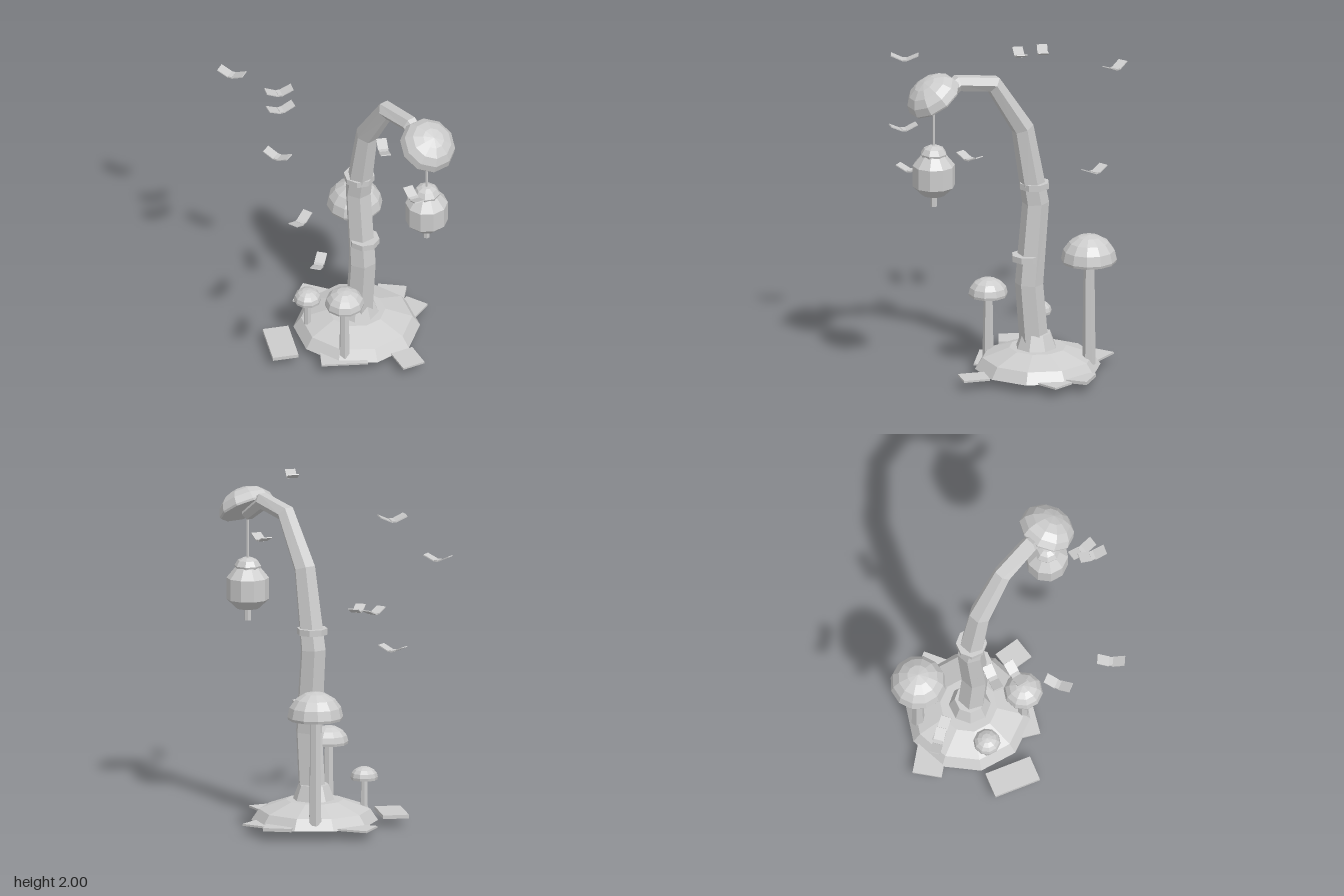
import * as THREE from 'three';

const stone = new THREE.MeshStandardMaterial({ color: 0xcccccc, flatShading: true, side: THREE.DoubleSide });
stone.name = 'pale grey';

function add(parent, name, geometry, x = 0, y = 0, z = 0) {
  const mesh = new THREE.Mesh(geometry, stone);
  mesh.name = name;
  mesh.position.set(x, y, z);
  parent.add(mesh);
  return mesh;
}

// Turned shape from [radius, height] pairs, listed bottom to top
const lathe = (profile, sides) =>
  new THREE.LatheGeometry(profile.map(([r, y]) => new THREE.Vector2(r, y)), sides);

// Closed half dome with a flat underside and a short straight lip
function dome(radius, height, lip, sides) {
  const profile = [[0, 0], [radius * 0.97, 0]];
  const steps = 4;
  for (let i = 0; i <= steps; i++) {
    const a = (i / steps) * Math.PI / 2;
    profile.push([radius * Math.cos(a), lip + (height - lip) * Math.sin(a)]);
  }
  return lathe(profile, sides);
}

// Tapering tube through [x, y, radius] stations lying in one upright plane
function bentTrunk(stations, sides) {
  const positions = [], index = [];
  stations.forEach(([x, y, r], i) => {
    const a = stations[Math.max(i - 1, 0)], b = stations[Math.min(i + 1, stations.length - 1)];
    const t = new THREE.Vector2(b[0] - a[0], b[1] - a[1]).normalize();
    for (let j = 0; j < sides; j++) {
      const angle = (j / sides) * Math.PI * 2, s = Math.sin(angle) * r;
      positions.push(x + t.y * s, y - t.x * s, Math.cos(angle) * r);
    }
  });
  for (let i = 0; i < stations.length - 1; i++) {
    for (let j = 0; j < sides; j++) {
      const a = i * sides + j, b = i * sides + (j + 1) % sides;
      index.push(a, b, b + sides, a, b + sides, a + sides);
    }
  }
  const last = (stations.length - 1) * sides;
  for (let j = 1; j < sides - 1; j++) {
    index.push(0, j + 1, j, last, last + j, last + j + 1);
  }
  const geometry = new THREE.BufferGeometry();
  geometry.setAttribute('position', new THREE.Float32BufferAttribute(positions, 3));
  geometry.setIndex(index);
  const flat = geometry.toNonIndexed();
  flat.computeVertexNormals();
  return flat;
}

function mushroom(name, x, z, base, rim, top, radius, stem, sides) {
  const group = new THREE.Group();
  group.name = name;
  add(group, 'mushroomStem', new THREE.CylinderGeometry(stem * 0.9, stem * 1.1, rim - base + 0.01, 6),
    x, (rim + base) / 2, z);
  add(group, 'mushroomCap', dome(radius, top - rim, 0.016, sides), x, rim, z);
  return group;
}

// Small flier with two raised wings; (dx, dz) is the direction of its wingspan
function flier(x, y, z, dx, dz) {
  const group = new THREE.Group();
  group.name = 'flier';
  add(group, 'body', new THREE.BoxGeometry(0.024, 0.01, 0.055));
  for (const side of [-1, 1]) {
    const wing = add(group, side > 0 ? 'leftWing' : 'rightWing',
      new THREE.BoxGeometry(0.078, 0.006, 0.062), side * 0.046, 0.014, 0);
    wing.rotation.z = side * 0.42;
  }
  group.position.set(x, y, z);
  group.rotation.y = Math.atan2(-dz, dx);
  return group;
}

export function createModel() {
  const model = new THREE.Group();
  model.name = 'mushroomLantern';
  const cx = -0.05, cz = -0.145;

  // Ground mound and the point below it
  add(model, 'mound', lathe([[0, 0.055], [0.375, 0.055], [0.33, 0.122], [0.17, 0.18], [0, 0.18]], 10), cx, 0, cz);
  add(model, 'groundPoint', lathe([[0, 0], [0.1, 0.045], [0.1, 0.056]], 8), cx, 0, cz);

  // Flat stones around the edge: x, z, width, depth, direction of width, thickness
  const slabs = [
    [-0.176, 0.325, 0.285, 0.155, 58, 27, 0.022],
    [-0.425, -0.11, 0.2, 0.175, 36, -23, 0.012],
    [-0.155, -0.475, 0.17, 0.17, 27, -27, 0.02],
    [0.01, -0.5, 0.145, 0.15, 30, -12, 0.012],
    [0.39, -0.19, 0.16, 0.14, 33, 6, 0.012],
    [0.145, 0.1, 0.275, 0.16, 33, -51, 0.012],
  ];
  for (const [x, z, w, d, dx, dz, h] of slabs) {
    const slab = add(model, 'flatStone', new THREE.BoxGeometry(w, h, d), x, 0.055 + h / 2, z);
    slab.rotation.y = Math.atan2(-dz, dx);
  }

  // Bent trunk with a flared foot and two collars
  add(model, 'trunkFoot', new THREE.CylinderGeometry(0.09, 0.128, 0.1, 8), -0.04, 0.22, cz);
  add(model, 'trunk', bentTrunk([
    [-0.03, 0.15, 0.086], [-0.012, 0.36, 0.085], [0.007, 0.58, 0.084], [-0.036, 1.08, 0.08],
    [0.05, 1.555, 0.068], [0.243, 1.856, 0.056], [0.475, 1.893, 0.052], [0.635, 1.79, 0.042],
  ], 6), 0, 0, cz);
  add(model, 'lowerCollar', new THREE.CylinderGeometry(0.09, 0.09, 0.037, 8), 0.024, 0.745, cz);
  add(model, 'upperCollar', new THREE.CylinderGeometry(0.092, 0.092, 0.037, 8), -0.026, 1.19, cz);

  // Drooping cap at the end of the trunk
  const cap = add(model, 'lampCap', dome(0.171, 0.135, 0.012, 10), 0.627, 1.815, -0.15);
  cap.rotation.z = -0.58;

  // Hanging lantern
  const lantern = new THREE.Group();
  lantern.name = 'lantern';
  lantern.position.set(0.633, 0, -0.145);
  add(lantern, 'cord', new THREE.CylinderGeometry(0.008, 0.008, 0.3, 6), 0, 1.65, 0);
  add(lantern, 'lanternTop', lathe([[0, 1.462], [0.076, 1.462], [0.08, 1.478], [0.06, 1.51], [0.03, 1.525], [0, 1.528]], 8));
  add(lantern, 'lanternBody', lathe([[0, 1.215], [0.07, 1.222], [0.126, 1.277], [0.126, 1.405], [0.074, 1.468], [0, 1.47]], 10));
  add(lantern, 'tassel', new THREE.CylinderGeometry(0.02, 0.02, 0.08, 6), 0, 1.188, 0);
  model.add(lantern);

  // Mushrooms standing on the mound
  model.add(
    mushroom('tallMushroom', -0.302, -0.32, 0.09, 0.723, 0.89, 0.166, 0.036, 12),
    mushroom('middleMushroom', 0.157, 0.103, 0.08, 0.452, 0.562, 0.117, 0.03, 10),
    mushroom('smallMushroom', -0.18, 0.122, 0.09, 0.29, 0.368, 0.081, 0.022, 10),
  );

  // Flock of fliers: x, y, z and wingspan direction
  const flock = [
    [-0.53, 1.128, 0.08, 34, -14], [-0.748, 1.69, 0.253, 32, -17],
    [-0.278, 1.848, 0.26, -12, 30], [-0.163, 1.828, 0.335, -9, 33],
    [0.13, 1.205, 0.41, 12, 33], [0.463, 1.148, 0.527, 23, 29],
    [0.66, 1.967, 0.195, 31, 16], [0.745, 1.59, 0.035, 36, 7],
  ];
  for (const f of flock) model.add(flier(...f));

  return model;
}
